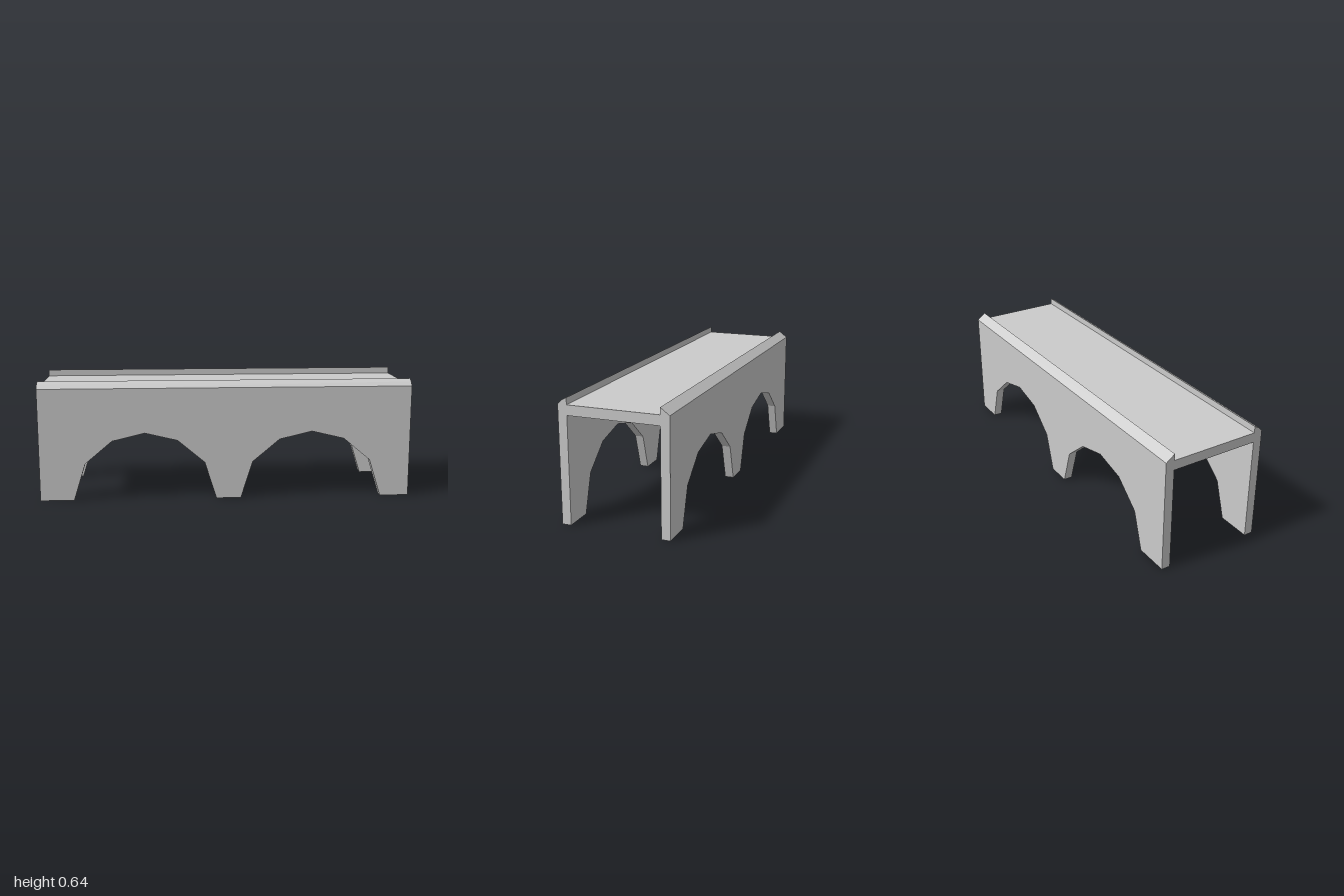
import * as THREE from 'three';

const LENGTH = 2, INNER = 0.237, OUTER = 0.284;
const DECK_TOP = 0.605, DECK_BOTTOM = 0.553, RIM_TOP = 0.64;

export function createModel() {
  const group = new THREE.Group();
  const material = new THREE.MeshStandardMaterial({ color: 0xcccccc, flatShading: true });
  const add = (name, geometry) => {
    const mesh = new THREE.Mesh(geometry, material);
    mesh.name = name;
    group.add(mesh);
    return mesh;
  };

  // Side wall outline with two faceted arches, as offsets from each arch centre
  const arch = [[-0.383, 0], [-0.32, 0.2], [-0.175, 0.322], [0, 0.364],
    [0.175, 0.322], [0.32, 0.2], [0.383, 0]];
  const outline = [[-1, DECK_TOP], [-1, 0]];
  for (const centre of [-0.437, 0.462]) {
    for (const [x, y] of arch) outline.push([centre + x, y]);
  }
  outline.push([1, 0], [1, DECK_TOP]);
  const wallShape = new THREE.Shape(outline.map(([x, y]) => new THREE.Vector2(x, y)));
  const wall = new THREE.ExtrudeGeometry(wallShape, { depth: OUTER - INNER, bevelEnabled: false });
  add('frontWall', wall).position.z = INNER;
  add('backWall', wall).position.z = -OUTER;

  // Deck between the walls
  const deck = add('deck', new THREE.BoxGeometry(LENGTH, DECK_TOP - DECK_BOTTOM, 2 * INNER));
  deck.position.y = (DECK_TOP + DECK_BOTTOM) / 2;

  // Sloping rims: cross-section in (z, y), run along x
  const rim = (name, section) => {
    const shape = new THREE.Shape(section.map(([z, y]) => new THREE.Vector2(-z, y)));
    const geometry = new THREE.ExtrudeGeometry(shape, { depth: LENGTH, bevelEnabled: false });
    geometry.rotateY(Math.PI / 2).translate(-LENGTH / 2, 0, 0);
    add(name, geometry);
  };
  rim('frontRim', [[INNER, DECK_TOP], [OUTER, DECK_TOP], [0.262, 0.627], [INNER, RIM_TOP]]);
  rim('backRim', [[-INNER, DECK_TOP], [-OUTER, DECK_TOP], [-INNER, RIM_TOP]]);

  return group;
}
